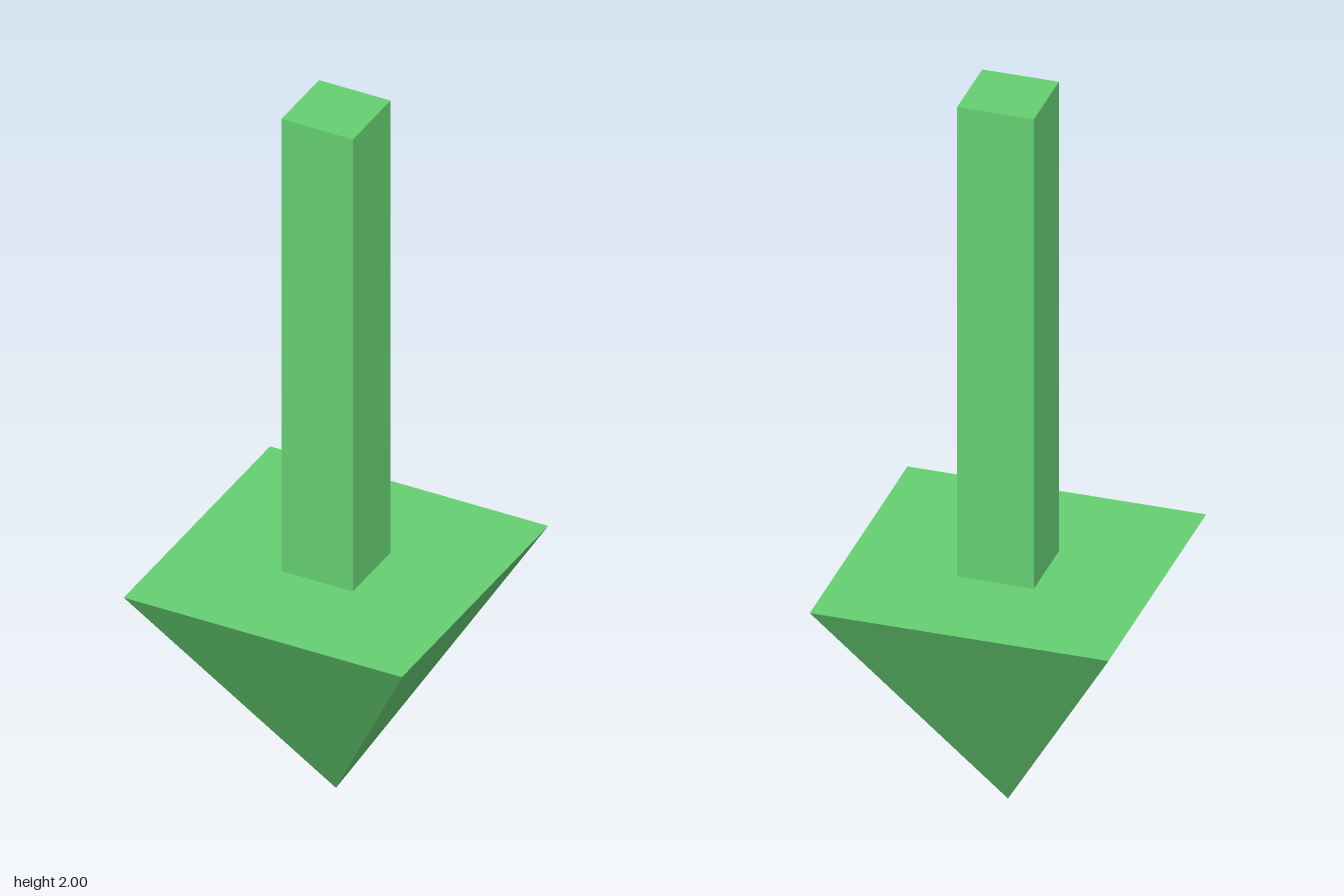
import * as THREE from 'three';

export function createModel() {
  const group = new THREE.Group();
  group.name = 'downArrow';
  const material = new THREE.MeshStandardMaterial({ color: 0x66d073, flatShading: true });

  const headHeight = 0.667;
  const headHalf = 0.389;
  const shaftHeight = 2 - headHeight;

  // Square pyramid head, point down on the ground
  const headGeometry = new THREE.ConeGeometry(headHalf * Math.SQRT2, headHeight, 4, 1);
  headGeometry.rotateY(Math.PI / 4).rotateX(Math.PI);
  const head = new THREE.Mesh(headGeometry, material);
  head.name = 'arrowHead';
  head.position.y = headHeight / 2;
  group.add(head);

  // Square shaft standing on the flat of the head
  const shaft = new THREE.Mesh(new THREE.BoxGeometry(0.2, shaftHeight, 0.2), material);
  shaft.name = 'arrowShaft';
  shaft.position.y = headHeight + shaftHeight / 2;
  group.add(shaft);

  return group;
}
